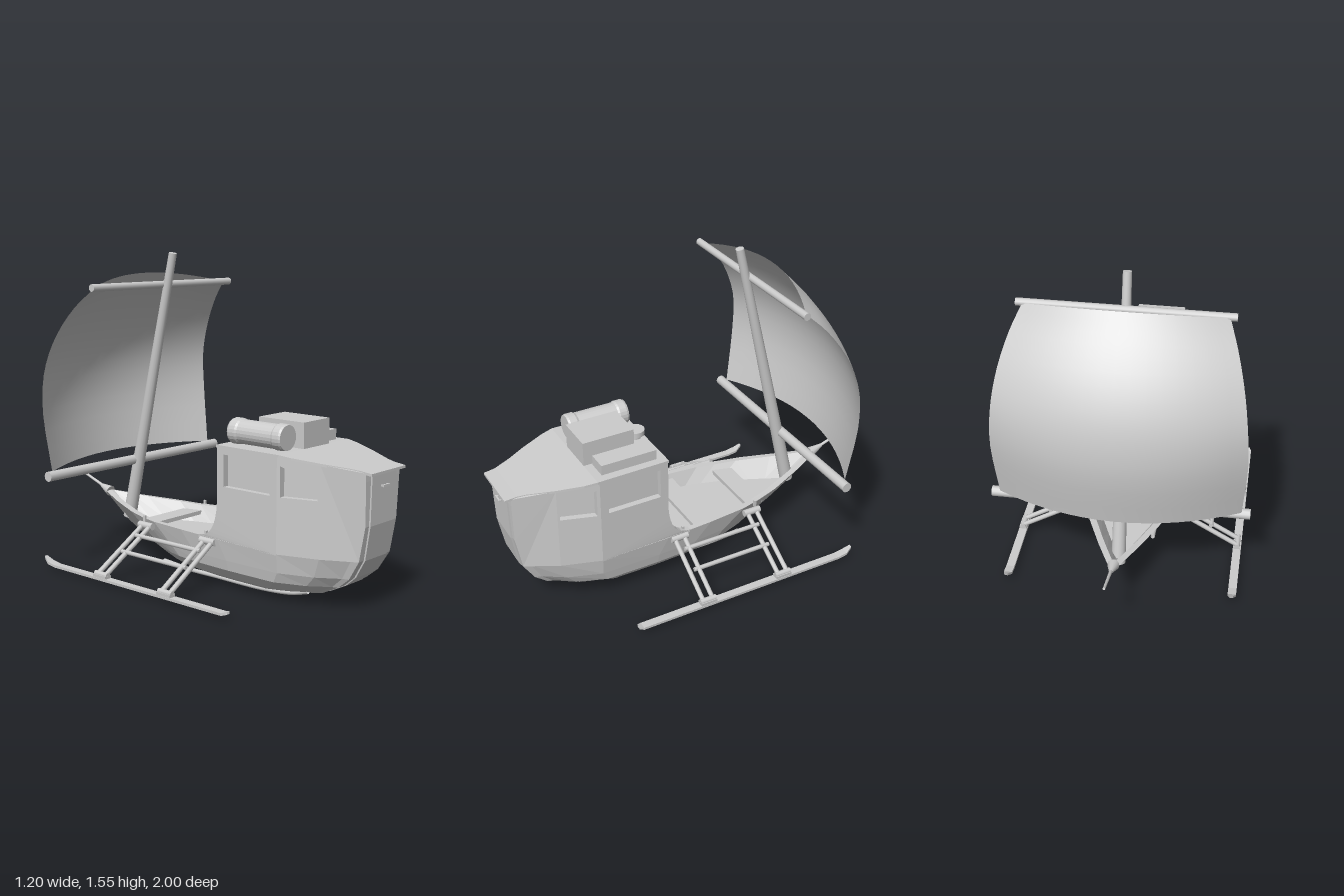
import * as THREE from 'three';

const flat = new THREE.MeshStandardMaterial({ color: 0xcccccc, flatShading: true, side: THREE.DoubleSide });
const smooth = new THREE.MeshStandardMaterial({ color: 0xcccccc, side: THREE.DoubleSide });
const V = (x, y, z) => new THREE.Vector3(x, y, z);

function add(parent, name, geo, mat = flat) {
  const m = new THREE.Mesh(geo, mat);
  m.name = name;
  parent.add(m);
  return m;
}

function box(parent, name, w, h, d, x, y, z) {
  const m = add(parent, name, new THREE.BoxGeometry(w, h, d));
  m.position.set(x, y, z);
  return m;
}

// Round bar from a to b
function bar(parent, name, a, b, ra, rb = ra, sides = 12) {
  const m = add(parent, name, new THREE.CylinderGeometry(rb, ra, a.distanceTo(b), sides), smooth);
  m.position.copy(a).lerp(b, 0.5);
  m.quaternion.setFromUnitVectors(V(0, 1, 0), b.clone().sub(a).normalize());
  return m;
}

// Surface through rows of equally many points
function surface(rows) {
  const n = rows[0].length, index = [];
  for (let i = 0; i < rows.length - 1; i++)
    for (let j = 0; j < n - 1; j++) {
      const a = i * n + j, b = a + 1, c = a + n, d = c + 1;
      index.push(a, b, c, b, d, c);
    }
  const g = new THREE.BufferGeometry().setFromPoints(rows.flat());
  g.setIndex(index);
  g.computeVertexNormals();
  return g;
}

// Linear interpolation in a list of [key, value], keys ascending
function table(list, k) {
  if (k <= list[0][0]) return list[0][1];
  for (let i = 1; i < list.length; i++)
    if (k <= list[i][0]) {
      const [k0, v0] = list[i - 1], [k1, v1] = list[i];
      return v0 + (v1 - v0) * (k - k0) / (k1 - k0);
    }
  return list[list.length - 1][1];
}

// Half width of the boat along z, tucked in towards the foot of the bow
const plan = [[-0.79, 0.008], [-0.7, 0.05], [-0.6, 0.095], [-0.42, 0.17], [-0.3, 0.205], [-0.2, 0.23],
  [0, 0.25], [0.24, 0.26], [0.59, 0.26], [0.78, 0.2], [0.9, 0.142], [0.97, 0.13]];
const halfWidth = (z, y) => table(plan, z) - 0.02 * THREE.MathUtils.clamp((z - 0.78) / 0.19, 0, 1) * (0.64 - y) / 0.4;
const sheer = [[-0.79, 0.288], [-0.6, 0.268], [-0.42, 0.256], [-0.3, 0.25], [0.2, 0.25], [0.3, 0.24]];
// z of the bow at height y
const stem = [[0.02, 0.6], [0.05, 0.72], [0.1, 0.82], [0.15, 0.88], [0.24, 0.935], [0.4, 0.965], [0.6, 0.97]];
const ZS = [0.935, 0.9, 0.78, 0.59, 0.24, 0, -0.2, -0.3, -0.42, -0.6, -0.7, -0.79];

// Closed waterline; y = null follows the sheer
function waterline(y, zf, zr, w) {
  const half = ZS.map(z => V(halfWidth(z, 0.24) * w / 0.26, y ?? table(sheer, z),
    zr + (z + 0.79) * (zf - zr) / 1.725));
  const other = half.map(p => V(-p.x, p.y, p.z)).reverse();
  return [...half, ...other, half[0].clone()];
}
const toCentre = ring => ring.map(p => V(0, p.y, p.z));

function hull(g) {
  const bottom = waterline(0.02, 0.6, -0.25, 0.13), floor = waterline(0.17, 0.82, -0.57, 0.21);
  add(g, 'hull', surface([toCentre(bottom), bottom,
    waterline(0.05, 0.72, -0.38, 0.19), waterline(0.1, 0.82, -0.5, 0.235),
    waterline(0.15, 0.88, -0.6, 0.245), waterline(null, 0.935, -0.79, 0.26),
    waterline(null, 0.9, -0.73, 0.232), floor, toCentre(floor)]));
  for (const [z, w] of [[0.02, 0.42], [-0.3, 0.34]]) box(g, 'bench', w, 0.02, 0.1, 0, 0.215, z);
  bar(g, 'sternSpar', V(0, 0.282, -0.75), V(0, 0.305, -0.82), 0.028, 0.009);
  bar(g, 'sternSpar', V(0, 0.303, -0.81), V(0, 0.37, -0.999), 0.008, 0.006);
}

const path = (Type, pts) => new Type(pts.map(([z, y]) => new THREE.Vector2(-z, y)));

// Thick wall drawn in (z, y) and bent to the boat's plan
function wall(g, name, outline, hole, fillet) {
  const s = path(THREE.Shape, outline);
  if (fillet) s.quadraticCurveTo(-0.23, 0.25, -0.12, 0.25);
  if (hole) s.holes.push(path(THREE.Path, hole));
  add(g, name, bend(new THREE.ExtrudeGeometry(s, { depth: 0.03, bevelEnabled: false, curveSegments: 8 })));
  if (hole) add(g, 'windowPane', bend(new THREE.ShapeGeometry(path(THREE.Shape, hole))));
}
function bend(geo) {
  const p = geo.attributes.position;
  for (let i = 0; i < p.count; i++) {
    const z = -p.getX(i), y = p.getY(i);
    p.setXYZ(i, halfWidth(z, y) - 0.03 + p.getZ(i), y, z);
  }
  geo.computeVertexNormals();
  return geo;
}

function cabin(g) {
  for (const side of [1, -1]) {
    const s = new THREE.Group();
    s.name = side > 0 ? 'leftCabinSide' : 'rightCabinSide';
    s.scale.x = side;
    g.add(s);
    wall(s, 'rearSideWall', [[0.12, 0.235], [0.59, 0.235], [0.59, 0.68], [0.24, 0.68], [0.24, 0.42]],
      [[0.28, 0.5], [0.55, 0.5], [0.55, 0.65], [0.28, 0.65]], true);
    wall(s, 'middleSideWall', [[0.59, 0.24], [0.78, 0.24], [0.78, 0.662], [0.59, 0.685]],
      [[0.605, 0.5], [0.77, 0.5], [0.77, 0.545], [0.7, 0.6], [0.605, 0.64]]);
    wall(s, 'bowSideWall', [[0.78, 0.24], [0.935, 0.24], [0.965, 0.4], [0.97, 0.6], [0.97, 0.638],
      [0.9, 0.648], [0.78, 0.662]]);
  }
  // Bow panel, door and handle
  const across = (y, w, out) => [-w, w].map(x => V(x, y, table(stem, y) + out));
  add(g, 'bowPanel', surface([0.24, 0.4, 0.6, 0.638].map(y => across(y, halfWidth(table(stem, y), y), 0))));
  const door = [[0.05, 0.045], [0.1, 0.06], [0.15, 0.072], [0.24, 0.083], [0.4, 0.092], [0.625, 0.092]];
  add(g, 'door', surface(door.map(([y, w]) => {
    const [a, b] = across(y, w, 0.008), [c, d] = across(y, w, -0.01);
    return [c, a, b, d];
  })));
  box(g, 'doorHandle', 0.05, 0.01, 0.008, 0, 0.57, 0.988);
  for (const x of [-0.02, 0.02]) box(g, 'handlePost', 0.008, 0.008, 0.014, x, 0.57, 0.98);

  // Roof slab, sloping down to the bow
  const roof = [[0.235, 0.26, 0.69], [0.6, 0.264, 0.69], [0.66, 0.25, 0.682], [0.78, 0.203, 0.667],
    [0.9, 0.145, 0.652], [0.94, 0.133, 0.647], [1, 0.13, 0.64]].map(([z, w, y]) =>
    [V(-w, y - 0.012, z), V(-w, y, z), V(w, y, z), V(w, y - 0.012, z), V(-w, y - 0.012, z)]);
  const flatEnd = r => r.map(p => V(0, p.y, p.z));
  add(g, 'roof', surface([flatEnd(roof[0]), ...roof, flatEnd(roof[roof.length - 1])]));

  // Back wall with recessed window
  const back = new THREE.Shape([[-0.235, 0.17], [0.235, 0.17], [0.235, 0.68], [-0.235, 0.68]].map(p => new THREE.Vector2(...p)));
  back.holes.push(new THREE.Path([[-0.19, 0.5], [0.19, 0.5], [0.19, 0.65], [-0.19, 0.65]].map(p => new THREE.Vector2(...p))));
  add(g, 'backWall', new THREE.ExtrudeGeometry(back, { depth: 0.03, bevelEnabled: false })).position.z = 0.245;
  box(g, 'backWindowPane', 0.4, 0.16, 0.005, 0, 0.575, 0.275);
}

function cargo(g) {
  box(g, 'largeCrate', 0.19, 0.12, 0.26, 0.015, 0.75, 0.47);
  box(g, 'smallCrate', 0.1, 0.05, 0.28, 0.17, 0.715, 0.42);
  const roll = [[0, -0.155], [0.058, -0.155], [0.062, -0.145], [0.062, -0.11], [0.057, -0.1], [0.057, 0.1],
    [0.062, 0.11], [0.062, 0.145], [0.058, 0.155], [0, 0.155]].map(p => new THREE.Vector2(...p));
  const m = add(g, 'barrel', new THREE.LatheGeometry(roll, 24), flat);
  m.rotation.x = Math.PI / 2;
  m.position.set(-0.157, 0.747, 0.415);
  bar(g, 'ventPipe', V(0, 0.685, 0.28), V(0, 0.715, 0.28), 0.028);
  bar(g, 'ventCap', V(0, 0.71, 0.28), V(0, 0.735, 0.28), 0.046, 0.046, 20);
}

function rig(g) {
  bar(g, 'mast', V(0, 0.17, -0.603), V(0, 1.545, -0.28), 0.034, 0.02, 16);
  bar(g, 'upperYard', V(-0.485, 1.39, -0.34), V(0.485, 1.39, -0.34), 0.018);
  bar(g, 'lowerBoom', V(-0.6, 0.483, -0.545), V(0.6, 0.483, -0.545), 0.025);
  // Sail: centre and edge curves, bulging aft between the yards
  const centre = new THREE.CatmullRomCurve3([[1.445, -0.455], [1.33, -0.56], [1.17, -0.67], [1, -0.74],
    [0.8, -0.758], [0.51, -0.715]].map(([y, z]) => V(0, y, z)));
  const edge = new THREE.CatmullRomCurve3([[0.455, 1.39, -0.35], [0.5, 1.29, -0.45], [0.54, 1.15, -0.54],
    [0.565, 0.99, -0.595], [0.577, 0.8, -0.6], [0.56, 0.5, -0.56]].map(p => V(...p)));
  const rows = [];
  for (let i = 0; i <= 16; i++) {
    const c = centre.getPoint(i / 16), e = edge.getPoint(i / 16), row = [];
    for (let j = -8; j <= 8; j++) {
      const s = j / 8, p = c.clone().lerp(e, s * s);
      row.push(V(e.x * s, p.y, p.z));
    }
    rows.push(row);
  }
  add(g, 'sail', surface(rows), smooth);
}

// Outrigger of one side, with ski, struts and ties, plus the keel runner
function outrigger(g, side) {
  const o = new THREE.Group();
  o.name = side > 0 ? 'leftOutrigger' : 'rightOutrigger';
  o.scale.x = side;
  g.add(o);
  const ski = [[0.55, 0.032, 0.012], [0.53, 0.026, 0.02], [-0.56, 0.026, 0.02], [-0.61, 0.034, 0.02], [-0.645, 0.055, 0.008]]
    .map(([z, y, w]) => [V(0.54 - w, y - 0.006, z), V(0.54 + w, y - 0.006, z), V(0.54 + w, y + 0.006, z),
      V(0.54 - w, y + 0.006, z), V(0.54 - w, y - 0.006, z)]);
  add(o, 'ski', surface(ski));
  for (const [z, x] of [[0.18, 0.25], [-0.24, 0.235]]) {
    for (const dz of [-0.025, 0.025]) bar(o, 'strut', V(x, 0.228, z + dz), V(0.54, 0.045, z + dz), 0.012, 0.012, 8);
    bar(o, 'hullHinge', V(x + 0.006, 0.226, z - 0.045), V(x + 0.006, 0.226, z + 0.045), 0.017);
    bar(o, 'skiHinge', V(0.54, 0.045, z - 0.042), V(0.54, 0.045, z + 0.042), 0.014);
    box(o, 'skiFoot', 0.036, 0.018, 0.085, 0.54, 0.036, z);
    box(o, 'cleat', 0.012, 0.035, 0.012, x - 0.015, 0.25, z - 0.03);
  }
  for (const [x, y] of [[0.31, 0.19], [0.405, 0.13]])
    bar(o, 'tieRod', V(x, y, 0.18), V(x, y, -0.24), 0.011, 0.011, 8);
  const runner = new THREE.CatmullRomCurve3([[0.66, 0.05], [0.57, 0.026], [0.4, 0.011], [0.1, 0.011],
    [-0.08, 0.011], [-0.24, 0.022]].map(([z, y]) => V(0.115, y, z)));
  add(o, 'keelRunner', new THREE.TubeGeometry(runner, 24, 0.011, 8), smooth);
}

export function createModel() {
  const g = new THREE.Group();
  g.name = 'sailingSledge';
  hull(g);
  cabin(g);
  cargo(g);
  rig(g);
  for (const side of [1, -1]) outrigger(g, side);
  return g;
}
